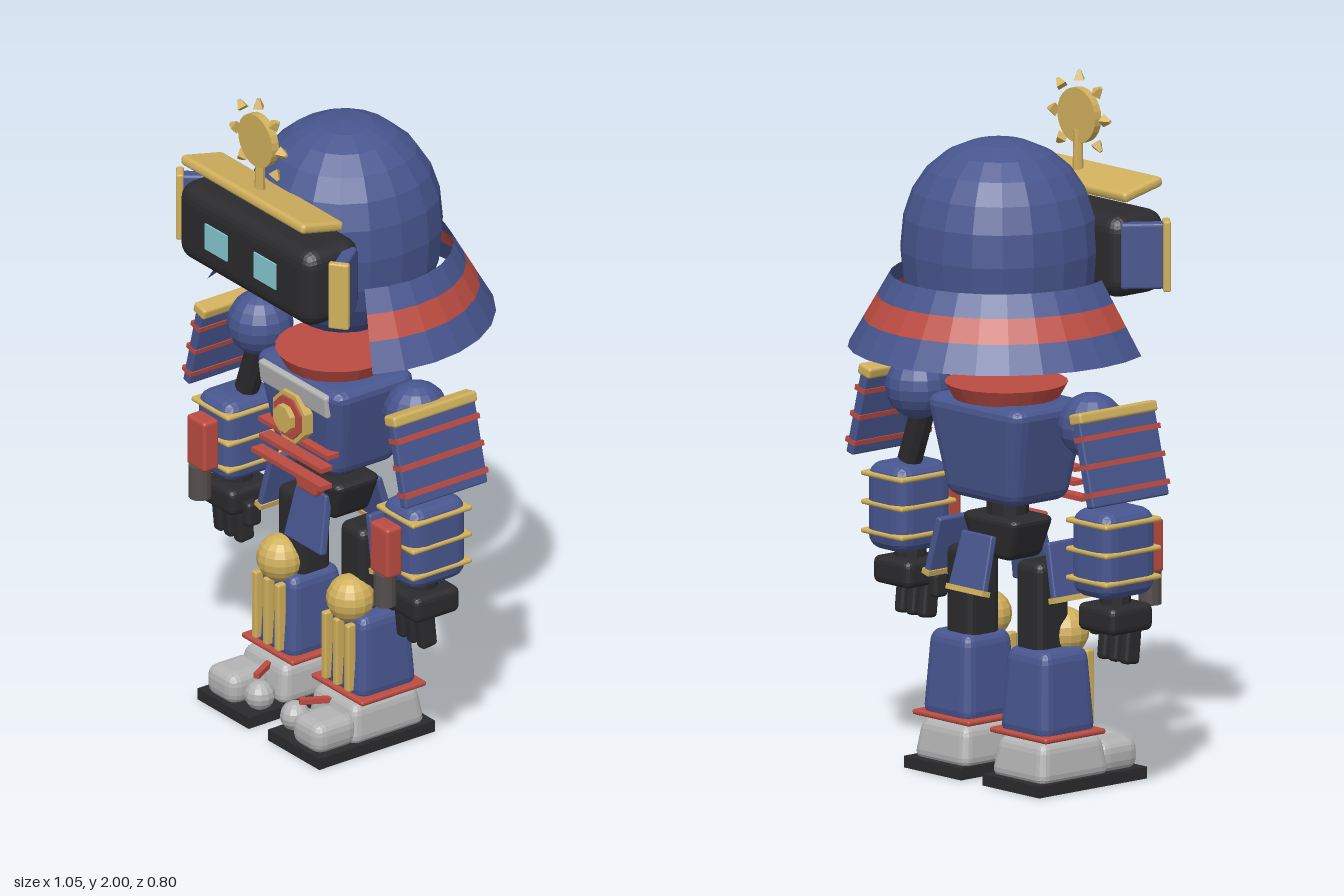
import * as THREE from 'three';
import { RoundedBoxGeometry } from 'three/addons/geometries/RoundedBoxGeometry.js';

const mat = (name, color, side = THREE.FrontSide) =>
  new THREE.MeshStandardMaterial({ name, color, side, flatShading: true });

// Rounded box whose width and depth change linearly from bottom (1) to top (tx, tz)
function rbox(w, h, d, r = 0.02, tx = 1, tz = tx, seg = 2) {
  const g = new RoundedBoxGeometry(w, h, d, seg, r);
  const p = g.attributes.position;
  for (let i = 0; i < p.count; i++) {
    const t = p.getY(i) / h + 0.5;
    p.setX(i, p.getX(i) * (1 + (tx - 1) * t));
    p.setZ(i, p.getZ(i) * (1 + (tz - 1) * t));
  }
  g.computeVertexNormals();
  return g;
}
const box = (w, h, d) => new THREE.BoxGeometry(w, h, d);
const cyl = (rt, rb, h, n = 16) => new THREE.CylinderGeometry(rt, rb, h, n);
const ball = (r, w = 14, h = 10) => new THREE.SphereGeometry(r, w, h);

export function createModel() {
  const blue = mat('blue armour', 0x48568f, THREE.DoubleSide);
  const red = mat('red lacquer', 0xbc4c42, THREE.DoubleSide);
  const gold = mat('gold trim', 0xd0b05c);
  const black = mat('black frame', 0x2b2b2e);
  const grey = mat('light grey', 0xb2b3b2);
  const cyan = mat('cyan eyes', 0x86c8d0);
  const barrelGrey = mat('dark barrel', 0x544e4d);

  const root = new THREE.Group();
  root.name = 'armouredRobot';
  const group = (name, parent = root) => {
    const g = new THREE.Group();
    g.name = name;
    parent.add(g);
    return g;
  };
  const part = (parent, name, geo, m, pos = [0, 0, 0], rot = [0, 0, 0]) => {
    const mesh = new THREE.Mesh(geo, m);
    mesh.name = name;
    mesh.position.set(...pos);
    mesh.rotation.set(...rot);
    parent.add(mesh);
    return mesh;
  };

  // Head: slightly squared low-poly sphere
  const head = group('head');
  const skull = ball(1, 18, 12);
  const sp = skull.attributes.position;
  const sq = v => Math.sign(v) * Math.abs(v) ** 0.9;
  for (let i = 0; i < sp.count; i++) {
    sp.setXYZ(i, sq(sp.getX(i)) * 0.275, sq(sp.getY(i)) * 0.318, sq(sp.getZ(i)) * 0.27);
  }
  skull.computeVertexNormals();
  part(head, 'helmet', skull, blue, [0, 1.527, 0.028]);

  // Neck guard: three bands of one flared cone, open at the front
  const guardR = y => 0.43 - (0.12 * (y - 1.25)) / 0.21;
  [[1.25, 1.33, blue], [1.33, 1.397, red], [1.397, 1.46, blue]].forEach(([y0, y1, m]) => {
    const g = new THREE.CylinderGeometry(guardR(y1), guardR(y0), y1 - y0, 18, 1, true, Math.PI - 2.03, 4.06);
    part(head, 'neckGuardBand', g, m, [0, (y0 + y1) / 2, 0.03]);
  });

  // Visor, eyes and brow
  part(head, 'visor', rbox(0.625, 0.24, 0.2, 0.05, 1, 1, 3), black, [0, 1.52, 0.293]);
  for (const s of [-1, 1]) {
    part(head, 'eye', box(0.102, 0.08, 0.008), cyan, [s * 0.114, 1.522, 0.394]);
    const wing = group('helmetWing', head);
    wing.position.set(s * 0.33, 1.525, 0.275);
    wing.rotation.y = s * 0.66;
    part(wing, 'wingPlate', rbox(0.04, 0.19, 0.125, 0.008), blue);
    part(wing, 'wingTrim', rbox(0.06, 0.205, 0.022, 0.006), gold, [0, 0, 0.068]);
  }
  part(head, 'brow', rbox(0.575, 0.03, 0.15, 0.012), gold, [0, 1.7, 0.32], [-0.22, 0, 0]);

  // Sun crest
  const crest = group('crest', head);
  crest.position.set(0, 1.87, 0.332);
  part(crest, 'crestStem', cyl(0.013, 0.016, 0.14, 8), gold, [0, -0.11, -0.005]);
  part(crest, 'crestDisc', cyl(0.08, 0.08, 0.024, 24), gold, [0, 0, 0], [Math.PI / 2, 0, 0]);
  for (let i = 0; i < 8; i++) {
    if (i === 6) continue;
    const a = (i * Math.PI) / 4;
    part(crest, 'crestRay', cyl(0.006, 0.02, 0.028, 4), gold,
      [Math.cos(a) * 0.116, Math.sin(a) * 0.116, 0], [0, 0, a - Math.PI / 2]);
  }

  // Torso
  const torso = group('torso');
  part(torso, 'collar', cyl(0.175, 0.15, 0.045, 24), red, [0, 1.12, 0.055]);
  part(torso, 'chest', rbox(0.29, 0.295, 0.22, 0.035, 1.42, 1.36), blue, [0, 0.953, 0.06]);
  part(torso, 'chestPanel', rbox(0.315, 0.07, 0.03, 0.008), grey, [0, 1.05, 0.198], [0.12, 0, 0]);
  [[0.08, 0.03, gold, 0.21], [0.066, 0.02, red, 0.222], [0.042, 0.03, gold, 0.235]].forEach(([r, h, m, z]) =>
    part(torso, 'medallion', cyl(r, r, h, 8).rotateY(Math.PI / 8), m, [0, 0.968, z], [Math.PI / 2, 0, 0]));
  [[0.895, 0.325, 0.19], [0.85, 0.29, 0.2], [0.805, 0.325, 0.215]].forEach(([y, w, z]) =>
    part(torso, 'waistBar', box(w, 0.014, 0.04), red, [0, y, z]));

  // Hips with four hanging skirt plates
  const hips = group('hips');
  part(hips, 'waist', cyl(0.06, 0.06, 0.1, 10), black, [0, 0.79, 0.06]);
  part(hips, 'pelvis', rbox(0.15, 0.125, 0.13, 0.02, 1.6, 1.25), black, [0, 0.7, 0.06]);
  part(hips, 'beltKnot', rbox(0.085, 0.05, 0.04, 0.01, 1.5, 1), red, [0, 0.735, 0.145]);
  part(hips, 'frontSkirt', rbox(0.175, 0.175, 0.025, 0.006, 0.78, 1), blue, [0, 0.633, 0.15], [-0.2, 0, 0]);
  const back = group('backSkirt', hips);
  back.position.set(0, 0.635, -0.07);
  back.rotation.x = 0.27;
  part(back, 'skirtPlate', rbox(0.15, 0.17, 0.022, 0.006, 0.85, 1), blue);
  part(back, 'skirtTrim', box(0.155, 0.016, 0.03), gold, [0, -0.08, 0]);

  for (const s of [-1, 1]) {
    const label = s > 0 ? 'left' : 'right';
    const side = group(label + 'Skirt', hips);
    side.position.set(s * 0.248, 0.635, 0.06);
    side.rotation.z = s * 0.24;
    part(side, 'skirtPlate', rbox(0.022, 0.17, 0.14, 0.006, 1, 0.85), blue);
    part(side, 'skirtTrim', box(0.03, 0.016, 0.145), gold, [0, -0.08, 0]);

    // Arm
    const arm = group(label + 'Arm');
    part(arm, 'shoulder', ball(0.095), blue, [s * 0.365, 1.072, 0.05]);
    const guard = group('shoulderGuard', arm);
    guard.position.set(s * 0.477, 0.995, 0.06);
    guard.rotation.z = s * 0.25;
    part(guard, 'guardPlate', rbox(0.03, 0.255, 0.29, 0.006), blue);
    [0.07, -0.01, -0.09].forEach(y =>
      part(guard, 'guardStripe', box(0.042, 0.015, 0.292), red, [s * 0.003, y, 0]));
    part(guard, 'guardTrim', rbox(0.052, 0.032, 0.295, 0.008), gold, [0, 0.128, 0]);
    part(arm, 'upperArm', cyl(0.036, 0.036, 0.2, 10), black, [s * 0.378, 0.945, 0.06], [0, 0, s * 0.35]);
    part(arm, 'forearm', rbox(0.165, 0.255, 0.205, 0.045), blue, [s * 0.432, 0.717, 0.073]);
    [0.808, 0.725, 0.642].forEach(y =>
      part(arm, 'forearmBand', rbox(0.175, 0.015, 0.213, 0.007), gold, [s * 0.432, y, 0.073]));
    part(arm, 'forearmPod', rbox(0.085, 0.155, 0.055, 0.01), red, [s * 0.428, 0.717, 0.205]);
    part(arm, 'podBarrel', cyl(0.033, 0.033, 0.1, 12), barrelGrey, [s * 0.432, 0.595, 0.212]);

    // Hand
    part(arm, 'wrist', cyl(0.045, 0.045, 0.06, 10), black, [s * 0.432, 0.58, 0.08]);
    part(arm, 'palm', rbox(0.155, 0.08, 0.16, 0.02), black, [s * 0.432, 0.528, 0.08]);
    [-0.047, 0, 0.047].forEach(dx =>
      part(arm, 'finger', rbox(0.037, 0.12, 0.055, 0.012), black, [s * 0.427 + dx, 0.454, 0.1], [0.1, 0, 0]));
    part(arm, 'thumb', rbox(0.035, 0.075, 0.05, 0.012), black, [s * 0.337, 0.497, 0.1]);
    part(arm, 'thumbJoint', box(0.05, 0.03, 0.04), black, [s * 0.355, 0.515, 0.1]);

    // Leg
    const leg = group(label + 'Leg');
    const cx = s * 0.163;
    part(leg, 'thigh', rbox(0.11, 0.32, 0.12, 0.025), black, [s * 0.147, 0.49, 0.06]);
    part(leg, 'knee', ball(0.07), gold, [cx, 0.435, 0.13]);
    part(leg, 'shin', rbox(0.205, 0.255, 0.21, 0.035, 0.83, 0.83), blue, [cx, 0.275, 0.065]);
    [-0.053, 0, 0.053].forEach(dx =>
      part(leg, 'shinBar', rbox(0.022, 0.21, 0.03, 0.006), gold, [cx + dx, 0.28, 0.172]));
    part(leg, 'ankleBand', rbox(0.24, 0.016, 0.23, 0.007), red, [cx, 0.158, 0.065]);

    // Foot
    part(leg, 'foot', rbox(0.23, 0.12, 0.27, 0.03, 0.85, 0.85), grey, [cx, 0.085, 0.075]);
    part(leg, 'outerToes', rbox(0.135, 0.095, 0.15, 0.035), grey, [s * 0.2, 0.072, 0.25]);
    part(leg, 'bigToe', ball(0.044, 12, 8), grey, [s * 0.083, 0.073, 0.265]);
    part(leg, 'sandalStrap', box(0.018, 0.016, 0.1), red, [s * 0.125, 0.124, 0.22], [0, -s * 0.5, 0]);
    part(leg, 'sole', box(0.24, 0.034, 0.41), black, [s * 0.165, 0.017, 0.128]);
  }
  return root;
}
